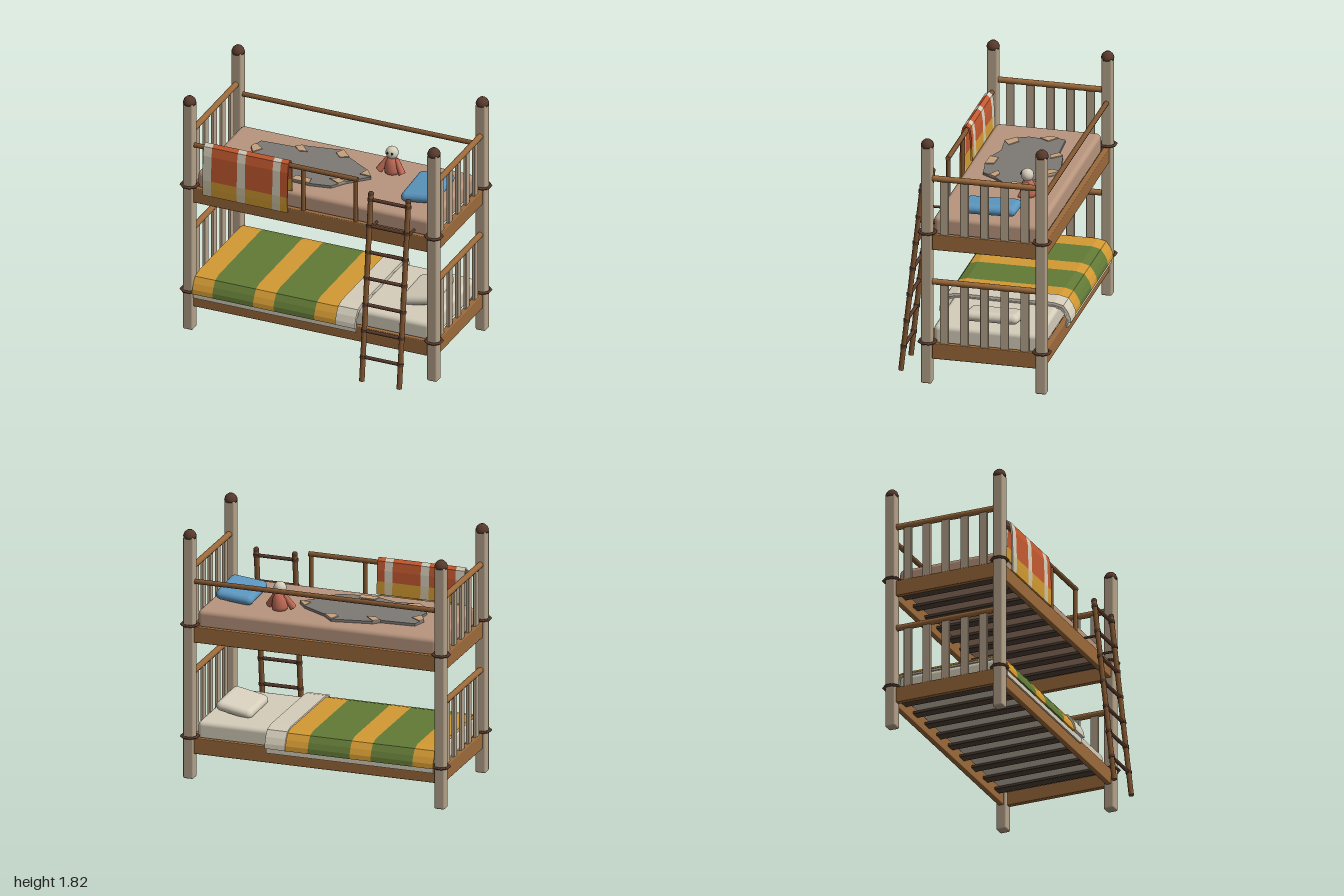
import * as THREE from 'three';
import { RoundedBoxGeometry } from 'three/addons/geometries/RoundedBoxGeometry.js';

const V = (x, y, z) => new THREE.Vector3(x, y, z);
const mats = {};
const mat = (color, flat = false) => (mats[color + '' + flat] ??= new THREE.MeshStandardMaterial({ color, flatShading: flat }));

const POST = 0xb3a189, WOOD = 0x9c6a3b, ROD = 0x7f5530, DARK = 0x583a2c, SLAT = 0x4f4035;
const CREAM = 0xd6cebb, TAN = 0xb8957d, BLUE = 0x5c97c0, ORANGE = 0xc4592f, YELLOW = 0xd39a33;
const GREEN = 0x627a36, GREY = 0x7d7a76, DOLL = 0xc06a55, HIDE = 0xc4a17c;
const ZC = -0.09, PX = 0.93, PZ = 0.41; // bed centre and post offsets

export function createModel() {
  const root = new THREE.Group();
  root.name = 'bunkBed';

  const add = (name, geo, color, pos = [0, 0, 0], parent = root, flat = false) => {
    const m = new THREE.Mesh(geo, mat(color, flat));
    m.name = name;
    m.position.set(...pos);
    parent.add(m);
    return m;
  };
  const group = (name) => {
    const g = new THREE.Group();
    g.name = name;
    root.add(g);
    return g;
  };
  const box = (name, w, h, d, color, pos, parent, r = 0.006) =>
    add(name, new RoundedBoxGeometry(w, h, d, 2, r), color, pos, parent);
  // round bar between two points
  const bar = (name, a, b, r, color, parent, r2 = r) => {
    const m = add(name, new THREE.CylinderGeometry(r2, r, a.distanceTo(b), 10), color, [0, 0, 0], parent);
    m.position.copy(a).add(b).multiplyScalar(0.5);
    m.quaternion.setFromUnitVectors(V(0, 1, 0), b.clone().sub(a).normalize());
    return m;
  };
  // cloth of thickness t: a [z, y] section, front to back, extruded from x0 to x1
  const cloth = (name, pts, x0, x1, color, parent, t = 0.012) => {
    const inner = pts.map((p, i) => {
      const a = pts[Math.max(i - 1, 0)], b = pts[Math.min(i + 1, pts.length - 1)];
      const dz = b[0] - a[0], dy = b[1] - a[1], l = Math.hypot(dz, dy);
      return [p[0] - (dy / l) * t, p[1] + (dz / l) * t];
    });
    const shape = new THREE.Shape([...pts, ...inner.reverse()].map(([z, y]) => new THREE.Vector2(-z, y)));
    const geo = new THREE.ExtrudeGeometry(shape, { depth: x1 - x0, bevelEnabled: false });
    geo.rotateY(Math.PI / 2);
    return add(name, geo, color, [x0, 0, 0], parent);
  };

  // corner posts with domed caps and lashing rings
  const capProfile = [[0, 0], [0.045, 0], [0.047, 0.018], [0.038, 0.04], [0.02, 0.056], [0, 0.06]]
    .map(([x, y]) => new THREE.Vector2(x, y));
  for (const sx of [-1, 1]) for (const sz of [-1, 1]) {
    const x = sx * PX, z = ZC + sz * PZ;
    const g = group('cornerPost');
    box('post', 0.077, 1.775, 0.077, POST, [x, 0.8875, z], g, 0.012);
    add('postCap', new THREE.LatheGeometry(capProfile, 12), DARK, [x, 1.762, z], g);
    for (const y of [0.305, 1.127]) {
      const ring = new THREE.TorusGeometry(0.058, 0.012, 6, 8);
      ring.rotateZ(Math.PI / 8).rotateX(Math.PI / 2).scale(1, 0.75, 1);
      add('postRing', ring, DARK, [x, y, z], g);
    }
  }

  // two bunks: side boards, end boards, headboards, slats and mattress
  const bunk = (name, y, railY, mattressColor) => {
    const g = group(name);
    for (const s of [-1, 1]) {
      box('sideBoard', 1.79, 0.115, 0.04, WOOD, [0, y + 0.057, ZC + s * PZ], g);
      box('endBoard', 0.04, 0.115, 0.745, WOOD, [s * PX, y + 0.057, ZC], g);
      bar('endRail', V(s * PX, railY, ZC - 0.375), V(s * PX, railY, ZC + 0.375), 0.022, WOOD, g);
      for (let i = -2; i <= 2; i++) {
        box('endSlat', 0.022, railY - y - 0.1, 0.06, POST, [s * PX, (railY + y + 0.1) / 2, ZC + i * 0.144], g, 0.004);
      }
    }
    for (let i = 0; i < 9; i++) {
      box('bedSlat', 0.075, 0.02, 0.8, SLAT, [-0.78 + i * 0.195, y + 0.062, ZC], g, 0.003);
    }
    box('mattress', 1.775, 0.155, 0.76, mattressColor, [0, y + 0.148, ZC], g, 0.035);
  };
  bunk('lowerBunk', 0.183, 0.756, CREAM);
  bunk('upperBunk', 1.0, 1.53, TAN);

  // upper guard rails
  const guard = group('guardRails');
  bar('backRail', V(-0.9, 1.445, ZC - PZ), V(0.9, 1.445, ZC - PZ), 0.018, ROD, guard);
  bar('frontRail', V(-0.9, 1.445, ZC + PZ), V(0.352, 1.445, ZC + PZ), 0.018, ROD, guard);
  for (const x of [-0.465, -0.065, 0.335]) {
    bar('guardUpright', V(x, 1.1, ZC + PZ), V(x, 1.445, ZC + PZ), 0.016, ROD, guard);
  }

  // striped throw hung over the front rail
  const throwG = group('hangingThrow');
  const hemF = [[0.366, 1.09], [0.368, 1.15], [0.368, 1.21]];
  const over = [[0.368, 1.21], [0.362, 1.4], [0.348, 1.465], [0.32, 1.485], [0.293, 1.465], [0.283, 1.4], [0.28, 1.32]];
  const hemB = [[0.28, 1.32], [0.277, 1.27], [0.275, 1.225]];
  const tx = [-0.81, -0.745, -0.55, -0.488, -0.28, -0.222, -0.165];
  for (let i = 0; i < 6; i++) {
    const plain = i % 2 === 0;
    cloth('throwStripe', over, tx[i], tx[i + 1], plain ? CREAM : ORANGE, throwG);
    for (const hem of [hemF, hemB]) {
      cloth('throwHem', hem, tx[i], tx[i + 1], plain ? 0xcfc3a2 : YELLOW, throwG);
    }
  }

  // lower bedding: sheet, striped blanket and turned-down fold
  const bedding = group('lowerBedding');
  const mirror = (half) => [...half.map(([z, y]) => [ZC + z, y]), ...half.map(([z, y]) => [ZC - z, y]).reverse()];
  const sheet = mirror([[0.45, 0.26], [0.448, 0.33], [0.43, 0.37], [0.4, 0.402], [0.35, 0.415]]);
  const cover = mirror([[0.461, 0.295], [0.458, 0.33], [0.44, 0.37], [0.41, 0.412], [0.35, 0.428]]);
  const fold = mirror([[0.472, 0.3], [0.468, 0.335], [0.45, 0.38], [0.418, 0.424], [0.35, 0.44]]);
  cloth('sheet', sheet, -0.885, 0.352, CREAM, bedding);
  const bx = [-0.888, -0.735, -0.425, -0.27, 0.04, 0.21];
  for (let i = 0; i < 5; i++) cloth('blanketStripe', cover, bx[i], bx[i + 1], i % 2 ? GREEN : YELLOW, bedding);
  cloth('sheetFold', fold, 0.205, 0.355, CREAM, bedding, 0.02);

  // pillows, plump in the middle
  const pillow = (name, color, x, y, z, ry, rz) => {
    const geo = new RoundedBoxGeometry(0.27, 0.075, 0.39, 5, 0.037);
    const p = geo.attributes.position;
    for (let i = 0; i < p.count; i++) {
      const u = p.getX(i) / 0.135, w = p.getZ(i) / 0.195;
      p.setY(i, p.getY(i) * (1.08 - 0.25 * u * u * w * w));
    }
    geo.computeVertexNormals();
    add(name, geo, color, [x, y, z]).rotation.set(0, ry, rz);
  };
  pillow('upperPillow', BLUE, 0.703, 1.267, -0.08, 0.05, 0.12);
  pillow('lowerPillow', CREAM, 0.69, 0.447, -0.1, 0.02, 0.2);

  // ragged hide with turned-up corners on the upper mattress
  const hide = group('hideRug');
  const flat = (name, pts, y, h, color) => {
    const geo = new THREE.ExtrudeGeometry(new THREE.Shape(pts.map(([x, z]) => new THREE.Vector2(x, -z))),
      { depth: h, bevelEnabled: false });
    geo.rotateX(-Math.PI / 2);
    add(name, geo, color, [0, y, 0], hide);
  };
  flat('hide', [[-0.65, -0.27], [-0.4, -0.285], [-0.36, -0.325], [-0.07, -0.378], [0.01, -0.295], [0.2, -0.18],
    [0.265, -0.095], [0.13, 0.04], [0.065, 0.14], [-0.09, 0.168], [-0.23, 0.163], [-0.36, 0.118], [-0.53, 0.138],
    [-0.61, 0.065], [-0.645, -0.01], [-0.635, -0.09], [-0.68, -0.165]], 1.222, 0.022, GREY);
  const flaps = [
    [[-0.68, -0.165], [-0.665, -0.215], [-0.59, -0.16], [-0.635, -0.09]],
    [[-0.4, -0.285], [-0.36, -0.325], [-0.29, -0.25], [-0.345, -0.235]],
    [[-0.07, -0.378], [0.01, -0.295], [-0.05, -0.265], [-0.1, -0.315]],
    [[0.2, -0.18], [0.265, -0.095], [0.18, -0.1]],
    [[0.13, 0.04], [0.1, 0.09], [0.01, 0.045], [0.07, 0.02]],
    [[-0.09, 0.168], [-0.23, 0.163], [-0.215, 0.1], [-0.1, 0.105]],
    [[-0.53, 0.138], [-0.61, 0.065], [-0.54, 0.035], [-0.46, 0.09]],
  ];
  for (const f of flaps) flat('hideFlap', f, 1.238, 0.012, HIDE);

  // rag doll sitting on the upper mattress
  const doll = group('ragDoll');
  const body = [[0, 0], [0.05, 0], [0.058, 0.03], [0.05, 0.085], [0.03, 0.125], [0, 0.135]]
    .map(([x, y]) => new THREE.Vector2(x, y));
  add('dollBody', new THREE.LatheGeometry(body, 14), DOLL, [0.355, 1.22, -0.255], doll);
  add('dollHead', new THREE.SphereGeometry(0.046, 16, 12), CREAM, [0.355, 1.382, -0.25], doll);
  for (const s of [-1, 1]) {
    bar('dollArm', V(0.355 + s * 0.03, 1.335, -0.255), V(0.355 + s * 0.088, 1.24, -0.225), 0.017, DOLL, doll, 0.026);
    add('dollEye', new THREE.SphereGeometry(0.008, 8, 6), 0x2b2420, [0.355 + s * 0.017, 1.392, -0.208], doll);
  }

  // leaning ladder with lashed rungs and hooks
  const ladder = group('ladder');
  const zAt = (y) => 0.55 - 0.11 * y;
  const lx = [0.485, 0.77];
  for (const x of lx) {
    bar('ladderRail', V(x, 0.002, zAt(0)), V(x, 1.405, zAt(1.405)), 0.019, ROD, ladder);
    add('railTip', new THREE.SphereGeometry(0.021, 10, 8), DARK, [x, 1.4, zAt(1.4)], ladder);
    bar('ladderHook', V(x, 1.13, zAt(1.13)), V(x, 1.13, 0.295), 0.009, DARK, ladder);
  }
  for (let i = 0; i < 7; i++) {
    const y = 0.182 + i * 0.196;
    bar('rung', V(lx[0], y, zAt(y)), V(lx[1], y, zAt(y)), 0.013, DARK, ladder);
    for (const x of lx) {
      bar('rungLashing', V(x, y - 0.011, zAt(y - 0.011)), V(x, y + 0.011, zAt(y + 0.011)), 0.023, DARK, ladder);
    }
  }
  return root;
}
